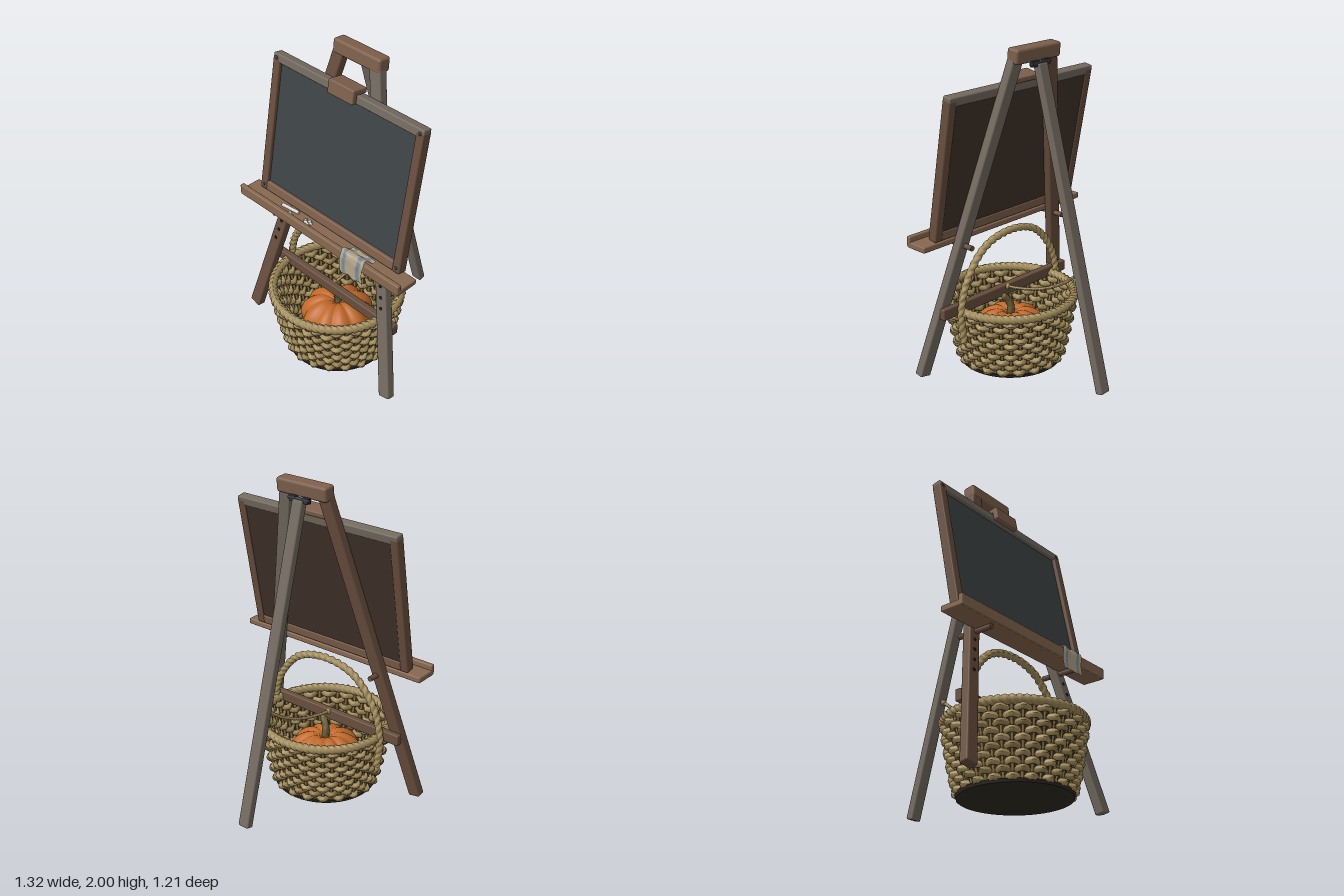
import * as THREE from 'three';
import { RoundedBoxGeometry } from 'three/addons/geometries/RoundedBoxGeometry.js';

const BROWN = 0x7d5f4b, DARK_BROWN = 0x684e3d, GREY_WOOD = 0x736a5f, TRAY = 0x876850;
const STRAW = 0xa38d5c, STRAW_DARK = 0x8a7346, SHADE = 0x40351f, IRON = 0x33343a;
const V = (x, y, z) => new THREE.Vector3(x, y, z);
const TILT = -0.186;
const BASKET_Z = 0.177;

function add(parent, name, geometry, color, double = false) {
  const mat = new THREE.MeshStandardMaterial({ color });
  if (double) mat.side = THREE.DoubleSide;
  const mesh = new THREE.Mesh(geometry, mat);
  mesh.name = name;
  parent.add(mesh);
  return mesh;
}

// Softly rounded block, given by its extents
function block(parent, name, [x0, x1], [y0, y1], [z0, z1], color, r = 0.008) {
  const m = add(parent, name, new RoundedBoxGeometry(x1 - x0, y1 - y0, z1 - z0, 2, r), color);
  m.position.set((x0 + x1) / 2, (y0 + y1) / 2, (z0 + z1) / 2);
  return m;
}

// Points an object's y axis from a to b, keeping its x axis as level as possible
function aim(obj, a, b) {
  const y = b.clone().sub(a).normalize();
  const x = V(1, 0, 0).addScaledVector(y, -y.x).normalize();
  obj.quaternion.setFromRotationMatrix(new THREE.Matrix4().makeBasis(x, y, x.clone().cross(y)));
  obj.position.copy(a).add(b).multiplyScalar(0.5);
  return obj;
}

function beam(parent, name, a, b, w, d, color) {
  return aim(add(parent, name, new RoundedBoxGeometry(w, a.distanceTo(b), d, 2, 0.009), color), a, b);
}

// Tube whose surface is grooved into twisted strands
function rope(parent, name, curve, r, segs, strands, turns, color, closed = false) {
  const n = 12, g = new THREE.TubeGeometry(curve, segs, r, n, closed);
  const p = g.attributes.position, v = V(0, 0, 0);
  for (let i = 0; i <= segs; i++) {
    const c = curve.getPointAt(closed && i === segs ? 0 : i / segs);
    for (let j = 0; j <= n; j++) {
      const k = i * (n + 1) + j;
      const a = strands * (j / n + turns * i / segs) * Math.PI;
      v.fromBufferAttribute(p, k).sub(c).multiplyScalar(0.72 + 0.34 * Math.abs(Math.sin(a))).add(c);
      p.setXYZ(k, v.x, v.y, v.z);
    }
  }
  g.computeVertexNormals();
  return add(parent, name, g, color);
}

function buildEasel(root) {
  const easel = new THREE.Group();
  easel.name = 'easel';
  root.add(easel);
  for (const s of [-1, 1]) {
    const foot = V(s * 0.588, 0.015, 0.348), head = V(s * 0.137, 1.935, -0.012);
    const leg = beam(easel, s < 0 ? 'rightFrontLeg' : 'leftFrontLeg', foot, head, 0.08, 0.056, s < 0 ? DARK_BROWN : GREY_WOOD);
    // Row of peg holes
    for (let i = 0; i < 4; i++) {
      const hole = add(leg, 'pegHole', new THREE.CylinderGeometry(0.011, 0.011, 0.004, 12), 0x1c1714);
      hole.rotation.x = Math.PI / 2;
      hole.position.set(0, -0.41 + i * 0.071, 0.028);
    }
    const peg = add(easel, 'peg', new THREE.CylinderGeometry(0.016, 0.016, 0.23, 12), DARK_BROWN);
    peg.rotation.x = Math.PI / 2;
    peg.position.set(s * 0.385, 0.85, 0.215);
    const plate = block(easel, 'hingePlate', [s * 0.045 - 0.022, s * 0.045 + 0.022], [1.885, 1.92], [-0.085, -0.05], IRON, 0.004);
    plate.rotation.x = 0.1;
  }
  beam(easel, 'rearLeg', V(0, 0.015, -0.582), V(0, 1.9, -0.072), 0.074, 0.05, GREY_WOOD);
  const cap = block(easel, 'topCap', [-0.178, 0.178], [1.912, 2], [-0.066, 0.018], BROWN, 0.016);
  cap.rotation.x = -0.1;
  const pin = add(easel, 'hingePin', new THREE.CylinderGeometry(0.011, 0.011, 0.15, 10), IRON);
  pin.rotation.z = Math.PI / 2;
  pin.position.set(0, 1.905, -0.075);
  block(easel, 'crossbar', [-0.53, 0.53], [0.4, 0.47], [0.2, 0.242], DARK_BROWN);
  // Slack cord from the crossbar to the rear leg
  const cord = new THREE.CatmullRomCurve3([V(0, 0.455, 0.2), V(0, 0.475, 0.09), V(0, 0.525, -0.08), V(0, 0.6, -0.23), V(0, 0.695, -0.36)]);
  rope(easel, 'cord', cord, 0.01, 120, 2, 16, STRAW);
  for (const t of [0, 1]) add(easel, 'cordKnot', new THREE.SphereGeometry(0.018, 12, 8), STRAW).position.copy(cord.getPoint(t));
}

function buildBoard(root) {
  const board = new THREE.Group();
  board.name = 'chalkboard';
  board.position.set(0, 1.35, 0.151);
  board.rotation.x = TILT;
  root.add(board);
  const H = 0.443, D = [-0.03, 0.03];
  block(board, 'slate', [-0.54, 0.54], [-0.41, 0.41], [0, 0.008], 0x3d4446, 0.002);
  block(board, 'backPanel', [-0.54, 0.54], [-0.41, 0.41], [-0.024, 0], 0x3f3129, 0.002);
  block(board, 'topRail', [-0.577, 0.577], [H - 0.053, H], D, GREY_WOOD);
  block(board, 'bottomRail', [-0.53, 0.53], [-H, -H + 0.06], D, BROWN);
  for (const s of [-1, 1]) {
    block(board, 'stile', [s * 0.551 - 0.027, s * 0.551 + 0.027], [-H, H - 0.02], [-0.031, 0.031], DARK_BROWN);
    for (const y of [-H + 0.03, H - 0.027]) {
      const screw = add(board, 'screw', new THREE.SphereGeometry(0.011, 12, 8), IRON);
      screw.scale.z = 0.4;
      screw.position.set(s * 0.551, y, 0.031);
    }
  }
  // Hooked clamp over the top rail
  block(board, 'clampTop', [-0.098, 0.098], [H, H + 0.034], [-0.04, 0.064], BROWN);
  block(board, 'clampLip', [-0.098, 0.098], [H - 0.052, H + 0.034], [0.031, 0.066], BROWN);
}

function buildTray(root) {
  const tray = new THREE.Group();
  tray.name = 'chalkTray';
  root.add(tray);
  block(tray, 'shelf', [-0.66, 0.66], [0.868, 0.905], [0.205, 0.35], TRAY);
  block(tray, 'lip', [-0.66, 0.66], [0.87, 0.938], [0.327, 0.357], TRAY);
  // Chalk stick and broken bits
  const chalk = (a, b, r) => aim(add(tray, 'chalk', new THREE.CylinderGeometry(r, r, a.distanceTo(b), 12), 0xd8d5cc), a, b);
  chalk(V(-0.35, 0.916, 0.287), V(-0.22, 0.916, 0.273), 0.011);
  chalk(V(-0.135, 0.916, 0.302), V(-0.09, 0.916, 0.32), 0.011);
  for (const [x, z] of [[-0.265, 0.305], [-0.235, 0.32], [-0.145, 0.288], [-0.12, 0.28], [-0.1, 0.29]]) {
    const bit = add(tray, 'chalkBit', new THREE.IcosahedronGeometry(0.014, 0), 0xd8d5cc);
    bit.scale.y = 0.5;
    bit.position.set(x, 0.911, z);
  }
  // Striped rag draped over the lip
  const drape = new THREE.CatmullRomCurve3([V(0, 0.911, 0.262), V(0, 0.915, 0.29), V(0, 0.943, 0.325), V(0, 0.946, 0.355), V(0, 0.925, 0.367), V(0, 0.87, 0.367), V(0, 0.806, 0.368)]);
  const edges = [0.222, 0.245, 0.268, 0.352, 0.378, 0.402];
  for (let k = 0; k < 5; k++) {
    const g = new THREE.PlaneGeometry(edges[k + 1] - edges[k], 1, 6, 32);
    g.translate((edges[k] + edges[k + 1]) / 2, 0, 0);
    const p = g.attributes.position;
    for (let i = 0; i < p.count; i++) {
      const x = p.getX(i), t = 0.5 - p.getY(i), c = drape.getPoint(t);
      const wave = 0.5 + 0.5 * Math.sin(x * 75 + t * 2);
      p.setXYZ(i, x + 0.006 * Math.sin(t * 13), c.y + 0.007 * wave * (t < 0.6 ? 1 : -1), c.z + 0.006 * wave * t);
    }
    g.computeVertexNormals();
    add(tray, 'rag', g, k % 2 ? 0x7b8c96 : 0xb3a58b, true);
  }
}

function buildBasket(root) {
  const basket = new THREE.Group();
  basket.name = 'basket';
  basket.position.z = BASKET_Z;
  root.add(basket);
  const ROWS = 10, WAVES = 20;
  const wall = y => 0.303 + 0.087 * Math.pow(y / 0.42, 0.8);
  const profile = [0.01, 0.1, 0.2, 0.3, 0.42].map(y => new THREE.Vector2(wall(y), y));
  add(basket, 'wallCore', new THREE.LatheGeometry(profile, 80), SHADE, true);
  add(basket, 'base', new THREE.CylinderGeometry(0.328, 0.322, 0.02, 64), 0x2f2a20).position.y = 0.01;
  // Concentric coils on the floor
  for (let r = 0.03; r < 0.3; r += 0.028) {
    const coil = add(basket, 'floorCoil', new THREE.TorusGeometry(r, 0.014, 6, 48), STRAW_DARK);
    coil.rotation.x = Math.PI / 2;
    coil.position.y = 0.022;
  }
  // Upright stakes
  for (let i = 0; i < WAVES * 2; i++) {
    const a = (i / WAVES) * Math.PI, at = y => V(wall(y) * Math.cos(a), y, wall(y) * Math.sin(a));
    aim(add(basket, 'stake', new THREE.CylinderGeometry(0.009, 0.009, 0.41, 6), STRAW_DARK), at(0.01), at(0.42));
  }
  // Woven rows weaving in and out, each offset from the next
  for (let row = 0; row < ROWS; row++) {
    const y = 0.032 + row * 0.0395;
    const g = new THREE.TorusGeometry(wall(y), 0.016, 8, WAVES * 9);
    g.rotateX(Math.PI / 2);
    const p = g.attributes.position;
    for (let i = 0; i < p.count; i++) {
      const x = p.getX(i), z = p.getZ(i), a = Math.atan2(z, x);
      const r = Math.hypot(x, z) + 0.02 * Math.cos(WAVES * a + row * Math.PI);
      p.setXYZ(i, r * Math.cos(a), p.getY(i) * 1.3 + y, r * Math.sin(a));
    }
    g.computeVertexNormals();
    add(basket, 'wovenRow', g, [STRAW, 0x96804f, 0xab9562][row % 3]);
  }
  // Twisted rim
  const ring = [];
  for (let i = 0; i < 32; i++) ring.push(V(0.396 * Math.cos(i * Math.PI / 16), 0.425, 0.396 * Math.sin(i * Math.PI / 16)));
  rope(basket, 'rim', new THREE.CatmullRomCurve3(ring, true), 0.028, 480, 3, 22, STRAW, true);
  // Arched handle, ends tucked down the outside
  const half = [[0.398, 0.225], [0.415, 0.42], [0.365, 0.61], [0.215, 0.785]];
  const arch = [...half.map(([x, y]) => V(-x, y, 0)), V(0, 0.838, 0), ...half.reverse().map(([x, y]) => V(x, y, 0))];
  rope(basket, 'handle', new THREE.CatmullRomCurve3(arch), 0.023, 320, 2, 18, STRAW);

  // Ribbed pumpkin with a bent stem
  const g = new THREE.SphereGeometry(1, 80, 28), p = g.attributes.position;
  for (let i = 0; i < p.count; i++) {
    const x = p.getX(i), y = p.getY(i), z = p.getZ(i), h = Math.hypot(x, z);
    const rib = 0.88 + 0.12 * Math.abs(Math.cos(5 * Math.atan2(z, x)));
    const dip = 1 - 0.3 * Math.exp(-h * h * 14);
    p.setXYZ(i, x * rib * 0.235, y * dip * 0.15 * (0.4 + 0.6 * rib), z * rib * 0.235);
  }
  g.computeVertexNormals();
  add(basket, 'pumpkin', g, 0xc0692a).position.y = 0.18;
  const stem = new THREE.CatmullRomCurve3([V(0, 0.27, 0), V(0, 0.33, 0), V(0.012, 0.37, 0.01), V(0.035, 0.4, 0.02)]);
  rope(basket, 'pumpkinStem', stem, 0.024, 24, 5, 0.3, 0x6b6038);
  add(basket, 'stemTip', new THREE.SphereGeometry(0.021, 12, 8), 0x6b6038).position.copy(stem.getPoint(1));
}

export function createModel() {
  const root = new THREE.Group();
  root.name = 'chalkboardEaselWithBasket';
  buildEasel(root);
  buildBoard(root);
  buildTray(root);
  buildBasket(root);
  return root;
}
